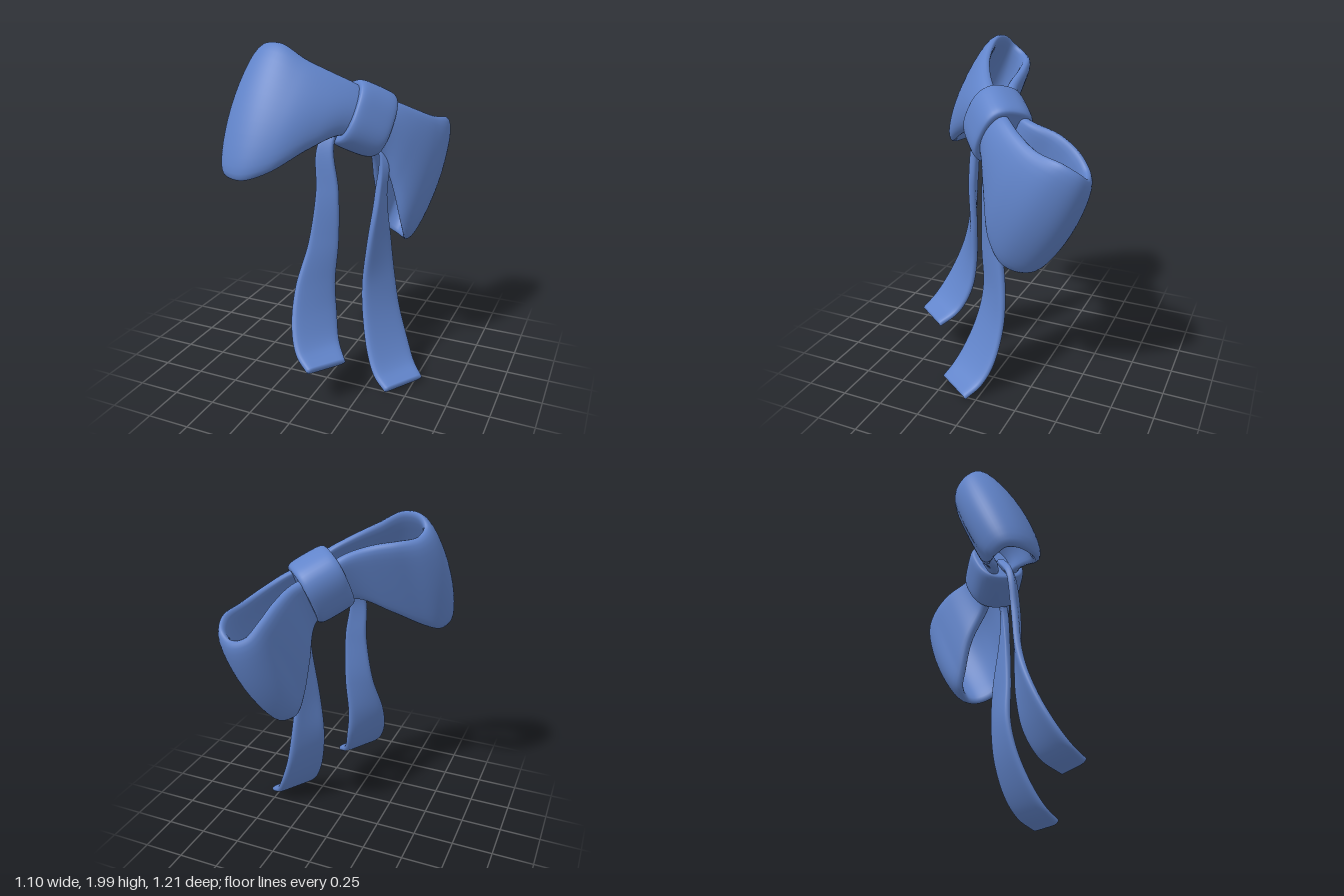
import * as THREE from 'three';
import { mergeVertices } from 'three/addons/utils/BufferGeometryUtils.js';

const ribbonBlue = new THREE.MeshStandardMaterial({ color: 0x6184ca });
ribbonBlue.name = 'ribbonBlue';

// Soft-edged strip swept between two edge curves, with closed ends;
// bulge(s) pushes the middle of the strip out along its normal
function ribbon(name, edgeA, edgeB, halfThick, bulge = () => 0, steps = 64, sides = 32) {
  const ca = new THREE.CatmullRomCurve3(edgeA.map(p => new THREE.Vector3(...p)));
  const cb = new THREE.CatmullRomCurve3(edgeB.map(p => new THREE.Vector3(...p)));
  const mid = s => ca.getPoint(s).add(cb.getPoint(s)).multiplyScalar(0.5);
  const pos = [], index = [];
  for (let i = -1; i <= steps + 1; i++) {
    const s = Math.min(1, Math.max(0, i / steps));
    const capped = i < 0 || i > steps;
    const m = mid(s);
    const tangent = mid(Math.min(1, s + 0.01)).sub(mid(Math.max(0, s - 0.01))).normalize();
    const half = ca.getPoint(s).sub(cb.getPoint(s)).multiplyScalar(0.5);
    const normal = tangent.clone().cross(half).normalize();
    for (let j = 0; j < sides; j++) {
      const a = (j / sides) * Math.PI * 2;
      const w = Math.cos(a);
      const h = capped ? 0 : halfThick * Math.sign(Math.sin(a)) * Math.sqrt(Math.max(0, 1 - w ** 10));
      const p = m.clone()
        .addScaledVector(half, w)
        .addScaledVector(normal, h + bulge(s) * (1 - w * w));
      pos.push(p.x, p.y, p.z);
    }
  }
  for (let i = 0; i < steps + 2; i++) {
    for (let j = 0; j < sides; j++) {
      const k = (j + 1) % sides;
      const a = i * sides + j, b = i * sides + k, c = a + sides, d = b + sides;
      index.push(a, b, c, b, d, c);
    }
  }
  const geo = new THREE.BufferGeometry();
  geo.setAttribute('position', new THREE.Float32BufferAttribute(pos, 3));
  geo.setIndex(index);
  geo.computeVertexNormals();
  const mesh = new THREE.Mesh(geo, ribbonBlue);
  mesh.name = name;
  return mesh;
}

// Loop path, front strand to back strand: outward, depth, top edge, bottom edge
const loopPath = [
  [0.00, 0.05, 0.12, -0.12],
  [0.13, 0.05, 0.15, -0.15],
  [0.27, 0.035, 0.16, -0.28],
  [0.43, -0.01, 0.18, -0.47],
  [0.56, -0.085, 0.225, -0.55],
  [0.615, -0.17, 0.215, -0.55],
  [0.605, -0.24, 0.18, -0.53],
  [0.53, -0.28, 0.175, -0.50],
  [0.42, -0.255, 0.20, -0.43],
  [0.30, -0.185, 0.205, -0.29],
  [0.16, -0.085, 0.165, -0.16],
  [0.00, -0.05, 0.12, -0.12],
];

function loop(name, side) {
  const top = loopPath.map(([u, t, hi]) => [side * u, hi, t]);
  // the lower edge tucks in at the tip and swells a little at the back
  const bottom = loopPath.map(([u, t, , lo]) =>
    [side * (u > 0.5 ? u - 0.03 : u), lo, t < -0.1 ? t - 0.02 : t]);
  // the front strand and tip are full, the back strand flat
  const bulge = s => side * (0.045 - 0.04 * THREE.MathUtils.smoothstep(s, 0.55, 0.75));
  return ribbon(name, top, bottom, 0.032, bulge, 90);
}

// Knot: lathe around the bow axis, squared off in section
function knot() {
  const profile = [[0, -0.12], [0.7, -0.12], [0.88, -0.12], [0.96, -0.108], [1, -0.075],
    [1.01, 0], [1, 0.075], [0.96, 0.108], [0.88, 0.12], [0.7, 0.12], [0, 0.12]];
  const curve = new THREE.SplineCurve(profile.map(p => new THREE.Vector2(...p)));
  const pts = curve.getPoints(50);
  pts.forEach(p => { p.x = Math.max(0, p.x); });
  let geo = new THREE.LatheGeometry(pts, 48);
  geo.rotateZ(-Math.PI / 2);
  const p = geo.attributes.position;
  for (let i = 0; i < p.count; i++) {
    const y = p.getY(i), z = p.getZ(i), r = Math.hypot(y, z);
    if (r < 1e-5) continue;
    const k = (Math.abs(y / r) ** 2.6 + Math.abs(z / r) ** 2.6) ** (-1 / 2.6);
    p.setY(i, y * k * 0.195);
    p.setZ(i, z * k * 0.158);
  }
  geo.deleteAttribute('uv');
  geo.deleteAttribute('normal');
  geo = mergeVertices(geo, 1e-5);
  geo.computeVertexNormals();
  const mesh = new THREE.Mesh(geo, ribbonBlue);
  mesh.name = 'knot';
  return mesh;
}

export function createModel() {
  const model = new THREE.Group();
  model.name = 'ribbonBow';

  // Tilted bow: x along the loops, y across the ribbon, z forward
  const bow = new THREE.Group();
  bow.name = 'bow';
  const along = new THREE.Vector3(0.67, -0.42, -0.61).normalize();
  const front = along.clone().cross(new THREE.Vector3(0.13, 0.87, -0.46)).normalize();
  const up = front.clone().cross(along);
  bow.quaternion.setFromRotationMatrix(new THREE.Matrix4().makeBasis(along, up, front));
  bow.position.set(0.13, 1.58, 0.015);
  bow.add(loop('leftLoop', 1), loop('rightLoop', -1), knot());
  model.add(bow);

  // Hanging tails
  model.add(ribbon('rightTail',
    [[0.03, 1.62, 0.12], [-0.06, 1.45, 0.225], [-0.06, 1.2, 0.25], [-0.09, 0.9, 0.295], [-0.13, 0.65, 0.39],
      [-0.11, 0.45, 0.485], [-0.05, 0.32, 0.555], [0.04, 0.25, 0.6]],
    [[0.08, 1.62, 0.08], [0.03, 1.47, 0.195], [0.065, 1.2, 0.215], [0.06, 0.9, 0.205], [0.04, 0.65, 0.215],
      [0.06, 0.47, 0.24], [0.105, 0.32, 0.31], [0.185, 0.245, 0.4]], 0.022));
  model.add(ribbon('leftTail',
    [[0.17, 1.55, 0.02], [0.235, 1.38, 0.035], [0.23, 1.15, 0.06], [0.19, 0.85, 0.085], [0.163, 0.6, 0.09],
      [0.183, 0.4, 0.125], [0.24, 0.2, 0.19], [0.305, 0.085, 0.24], [0.385, 0.025, 0.275]],
    [[0.21, 1.55, -0.02], [0.28, 1.38, 0.0], [0.26, 1.15, -0.01], [0.275, 0.85, -0.07], [0.3, 0.6, -0.095],
      [0.335, 0.4, -0.095], [0.405, 0.2, -0.065], [0.465, 0.09, -0.015], [0.54, 0.03, 0.05]], 0.022));
  return model;
}
